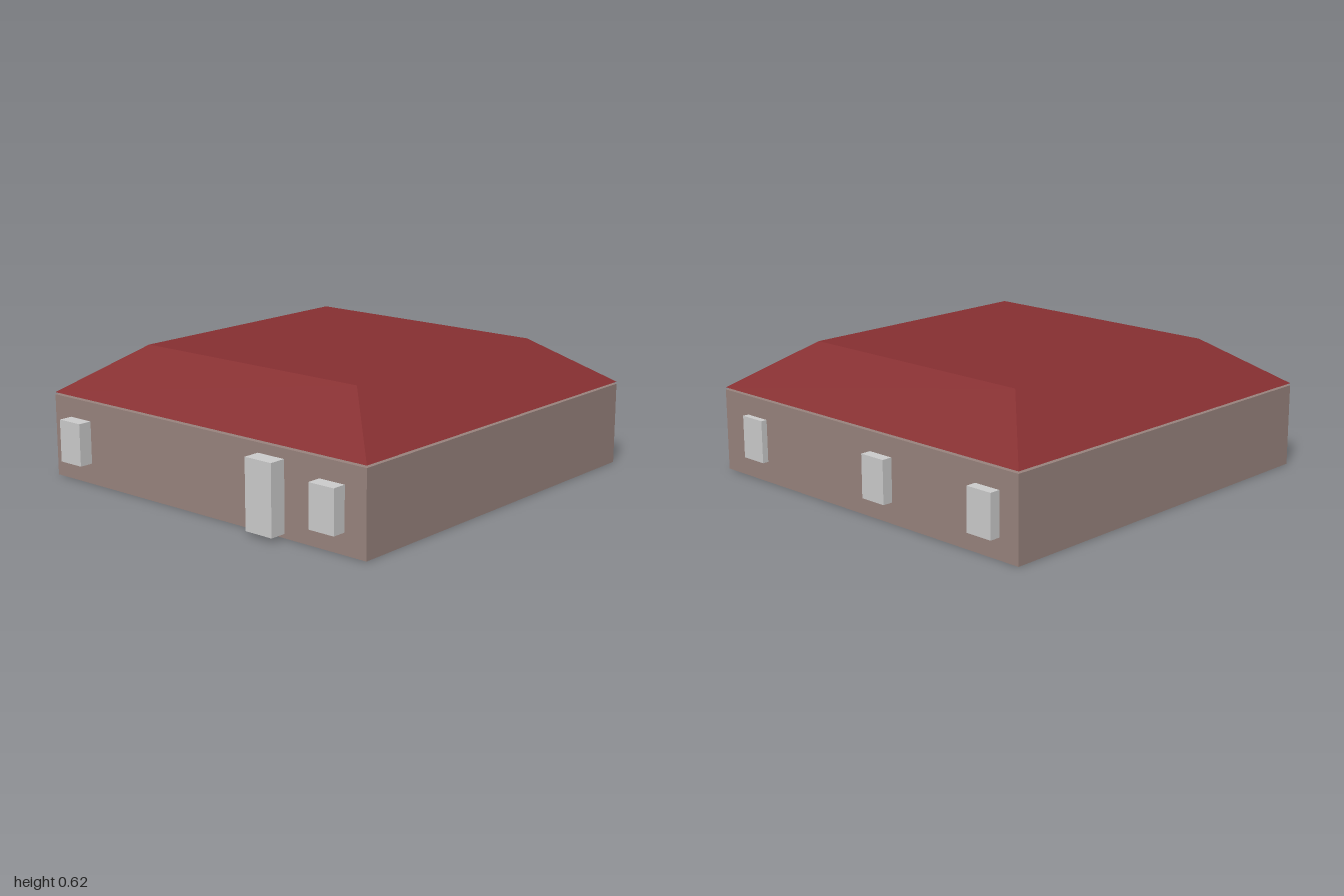
import * as THREE from 'three';

const BACK = -0.95, FRONT = 0.92, HALF_W = 0.935;

export function createModel() {
  const house = new THREE.Group();
  house.name = 'house';
  const wallMat = new THREE.MeshStandardMaterial({ color: 0x98837d });
  const roofMat = new THREE.MeshStandardMaterial({ color: 0x862f31 });
  const greyMat = new THREE.MeshStandardMaterial({ color: 0xcccccc });

  // Box given by its lower and upper limits on each axis
  function addBox(name, material, [x0, x1], [y0, y1], [z0, z1]) {
    const mesh = new THREE.Mesh(new THREE.BoxGeometry(x1 - x0, y1 - y0, z1 - z0), material);
    mesh.position.set((x0 + x1) / 2, (y0 + y1) / 2, (z0 + z1) / 2);
    mesh.name = name;
    house.add(mesh);
    return mesh;
  }

  // Walls
  addBox('walls', wallMat, [-HALF_W, HALF_W], [0, 0.387], [BACK, FRONT]);

  // Hipped roof with a flat top: a box whose upper corners are drawn inward
  const roof = addBox('roof', roofMat, [-HALF_W, HALF_W], [0.397, 0.615], [BACK, FRONT]);
  const corners = roof.geometry.attributes.position;
  for (let i = 0; i < corners.count; i++) {
    if (corners.getY(i) > 0) {
      corners.setX(i, corners.getX(i) - Math.sign(corners.getX(i)) * 0.31);
      corners.setZ(i, corners.getZ(i) - Math.sign(corners.getZ(i)) * 0.31);
    }
  }
  roof.geometry.computeVertexNormals();

  // Front door
  addBox('door', greyMat, [0.35, 0.497], [0.02, 0.342], [FRONT - 0.01, 1]);

  // Windows
  const windowY = [0.097, 0.297];
  for (const x of [-0.763, 0.755]) {
    addBox('frontWindow', greyMat, [x - 0.067, x + 0.067], windowY, [FRONT - 0.01, 0.987]);
  }
  for (const [x, z] of [[-0.763, -1], [-0.133, -1], [0.705, -0.98]]) {
    addBox('backWindow', greyMat, [x - 0.067, x + 0.067], windowY, [z, BACK + 0.01]);
  }
  return house;
}
